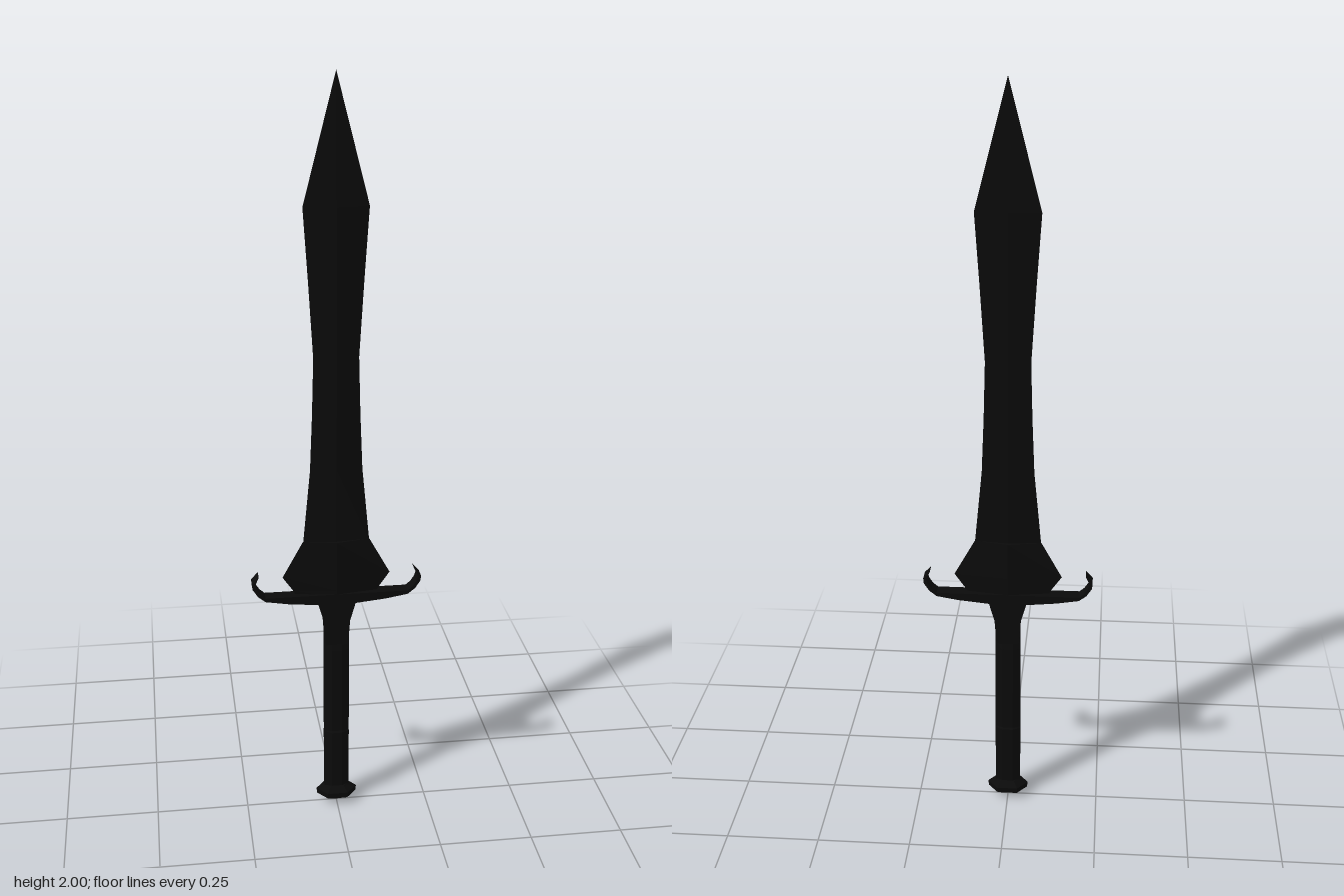
import * as THREE from 'three';

const material = new THREE.MeshStandardMaterial({ color: 0x0b0b0b, flatShading: true, side: THREE.DoubleSide });

function addPart(group, name, geometry) {
  const mesh = new THREE.Mesh(geometry, material);
  mesh.name = name;
  group.add(mesh);
  return mesh;
}

// Joins polygonal rings given as [y, half width in x, half depth in z]
function loft(rings, sides, phase = 0) {
  const pos = [];
  const k = 1 / Math.cos(phase);
  const point = ([y, w, d], i) => {
    const a = phase + (i * Math.PI * 2) / sides;
    return [w * k * Math.cos(a), y, d * k * Math.sin(a)];
  };
  const isPoint = (r) => r[1] === 0 && r[2] === 0;
  for (let r = 0; r < rings.length - 1; r++) {
    const lo = rings[r], hi = rings[r + 1];
    for (let i = 0; i < sides; i++) {
      const a = point(lo, i), b = point(hi, i), c = point(hi, i + 1), d = point(lo, i + 1);
      if (!isPoint(hi)) pos.push(...a, ...b, ...c);
      if (!isPoint(lo)) pos.push(...a, ...c, ...d);
    }
  }
  const geometry = new THREE.BufferGeometry();
  geometry.setAttribute('position', new THREE.Float32BufferAttribute(pos, 3));
  geometry.computeVertexNormals();
  return geometry;
}

// Extrudes a right-half outline mirrored about x = 0, centred in z
function mirroredSlab(half, depth) {
  const left = half.map(([x, y]) => [-x, y]).reverse();
  const shape = new THREE.Shape([...half, ...left].map(([x, y]) => new THREE.Vector2(x, y)));
  return new THREE.ExtrudeGeometry(shape, { depth, bevelEnabled: false }).translate(0, 0, -depth / 2);
}

export function createModel() {
  const sword = new THREE.Group();
  sword.name = 'sword';

  // Leaf-shaped blade with a central ridge
  addPart(sword, 'blade', loft([
    [0.79, 0, 0], [0.79, 0.088, 0.01], [1.0, 0.068, 0.01], [1.15, 0.062, 0.01],
    [1.3, 0.058, 0.01], [1.5, 0.07, 0.01], [1.68, 0.082, 0.01], [2.0, 0, 0],
  ], 4));

  // Thicker flared root of the blade
  addPart(sword, 'bladeRoot', loft([
    [0.64, 0, 0], [0.64, 0.105, 0.018], [0.66, 0.115, 0.018],
    [0.7, 0.143, 0.018], [0.8, 0.088, 0.018], [0.8, 0, 0],
  ], 4));

  // Tapered collar under the guard
  addPart(sword, 'collar', mirroredSlab([
    [0.03, 0.5], [0.035, 0.57], [0.052, 0.63],
  ], 0.036));

  // Crossguard arms ending in upturned hooks
  const armOutline = [
    [0.05, 0.622], [0.13, 0.63], [0.19, 0.64], [0.21, 0.656], [0.224, 0.678], [0.225, 0.692],
    [0.207, 0.712], [0.217, 0.69], [0.213, 0.676], [0.203, 0.661], [0.19, 0.65], [0.05, 0.65],
  ];
  addPart(sword, 'crossguard', mirroredSlab(armOutline, 0.036));

  // Eight-sided grip with a slightly fuller lower section
  addPart(sword, 'grip', loft([
    [0.04, 0, 0], [0.04, 0.034, 0.018], [0.225, 0.034, 0.018], [0.23, 0.034, 0.015],
    [0.48, 0.034, 0.015], [0.5, 0.034, 0.012], [0.58, 0.034, 0.016], [0.58, 0, 0],
  ], 8, Math.PI / 8));

  // Six-sided faceted pommel
  addPart(sword, 'pommel', loft([
    [0, 0, 0], [0.024, 0.054, 0.038], [0.04, 0.056, 0.04], [0.055, 0.036, 0.023], [0.055, 0, 0],
  ], 6));

  return sword;
}
